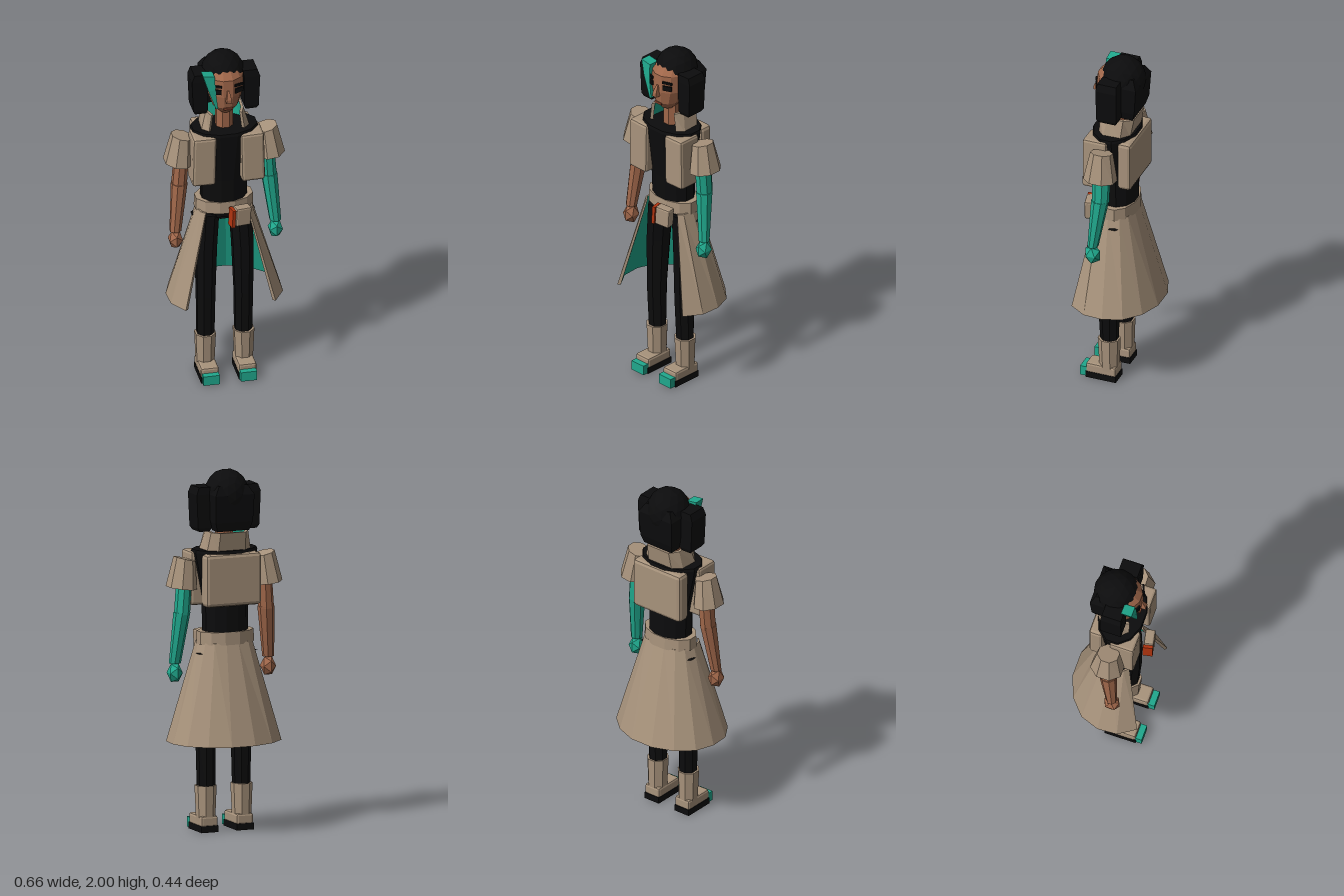
import * as THREE from 'three';
import { RoundedBoxGeometry } from 'three/addons/geometries/RoundedBoxGeometry.js';

const mat = (name, color) => {
  const m = new THREE.MeshStandardMaterial({ color });
  m.name = name;
  return m;
};

// Flat-faced version of any geometry
function facet(g) {
  const f = g.index ? g.toNonIndexed() : g;
  f.computeVertexNormals();
  return f;
}

function fromTriangles(tris) {
  const g = new THREE.BufferGeometry();
  g.setAttribute('position', new THREE.Float32BufferAttribute(tris.flat(), 3));
  g.setAttribute('uv', new THREE.Float32BufferAttribute(new Float32Array(tris.length * 2), 2));
  g.computeVertexNormals();
  return g;
}

// Quads between an upper and a lower row of points
function strip(a, b) {
  const t = [];
  for (let i = 0; i < a.length - 1; i++) t.push(a[i], b[i], b[i + 1], a[i], b[i + 1], a[i + 1]);
  return t;
}

// Capped solid through rings [y, cx, cz, rx, rz, tilt], bottom to top
function loft(rings, n = 8) {
  const k = n === 4 ? Math.SQRT2 : 1;
  const rows = rings.map(([y, cx, cz, rx, rz, tilt = 0]) =>
    Array.from({ length: n + 1 }, (_, i) => {
      const a = ((i % n) + 0.5) * 2 * Math.PI / n;
      const dx = Math.cos(a) * rx * k;
      return [cx + dx, y + tilt * dx, cz - Math.sin(a) * rz * k];
    }));
  const t = [];
  for (let r = 0; r < rows.length - 1; r++) t.push(...strip(rows[r + 1], rows[r]));
  const first = rows[0], last = rows[rows.length - 1];
  for (let i = 1; i < n - 1; i++) {
    t.push(last[0], last[i], last[i + 1]);
    t.push(first[0], first[i + 1], first[i]);
  }
  return fromTriangles(t);
}

// Half outline [x, z] mirrored to run from the left front round the back
const around = (half, y) => [
  ...half.map(([x, z]) => [x, y, z]),
  ...half.slice().reverse().map(([x, z]) => [-x, y, z]),
];
const inset = (row, s, cz) => row.map(([x, y, z]) => [x * s, y, cz + (z - cz) * s]);

export function createModel() {
  const root = new THREE.Group();
  root.name = 'figure';
  const black = mat('black', 0x0c0c0d);
  const cloth = mat('beige cloth', 0xa8937c);
  const teal = mat('teal', 0x20a88d);
  const skin = mat('skin', 0xa0674a);
  const red = mat('red', 0xb03410);
  const lip = mat('lip', 0x84452f);

  const add = (name, geo, material, x = 0, y = 0, z = 0, rx = 0, ry = 0, rz = 0) => {
    const m = new THREE.Mesh(facet(geo), material);
    m.name = name;
    m.position.set(x, y, z);
    m.rotation.set(rx, ry, rz);
    root.add(m);
    return m;
  };
  const box = (w, h, d) => new THREE.BoxGeometry(w, h, d);
  const padded = (w, h, d, r = 0.015) => new RoundedBoxGeometry(w, h, d, 1, r);

  // Open garment with an outer face, a lining and finished edges
  function garment(name, top, bottom, s, cz) {
    const it = inset(top, s, cz), ib = inset(bottom, s, cz), n = top.length - 1;
    add(name, fromTriangles([
      ...strip(top, bottom), ...strip(bottom, ib), ...strip(it, top),
      ...strip([it[0], top[0]], [ib[0], bottom[0]]),
      ...strip([top[n], it[n]], [bottom[n], ib[n]]),
    ]), cloth);
    add(name + 'Lining', fromTriangles(strip(ib, it)), teal);
  }

  // Head and hair
  add('neck', loft([[1.53, 0, 0.045, 0.05, 0.05], [1.72, 0, 0.045, 0.05, 0.05]]), skin);
  add('head', loft([
    [1.67, 0, 0.075, 0.035, 0.04], [1.715, 0, 0.065, 0.075, 0.085], [1.79, 0, 0.055, 0.1, 0.105],
    [1.89, 0, 0.05, 0.102, 0.105], [1.93, 0, 0.04, 0.08, 0.08],
  ], 12), skin);
  add('nose', loft([[1.765, 0, 0.158, 0.016, 0.024], [1.785, 0, 0.158, 0.013, 0.024],
    [1.83, 0, 0.152, 0.006, 0.008]], 4), skin);
  add('mouth', box(0.05, 0.012, 0.009), lip, 0, 1.715, 0.15);
  const cap = new THREE.IcosahedronGeometry(1, 2);
  cap.scale(0.12, 0.13, 0.125);
  add('hairCap', cap, black, 0, 1.87, 0.01);
  add('backHair', loft([[1.67, 0, -0.045, 0.095, 0.035], [1.72, 0, -0.045, 0.11, 0.05],
    [1.87, 0, -0.045, 0.115, 0.06], [1.92, 0, -0.03, 0.085, 0.05]], 4), black);
  // Blade-shaped hair clip
  add('hairClip', loft([[1.72, -0.062, 0.13, 0.006, 0.02], [1.84, -0.09, 0.12, 0.02, 0.03],
    [1.925, -0.105, 0.112, 0.032, 0.03, -0.15]], 4), teal);

  // Torso, vest back and collar
  add('torso', loft([[1.06, 0, 0.03, 0.13, 0.1], [1.25, 0, 0.035, 0.13, 0.105],
    [1.42, 0, 0.04, 0.165, 0.12], [1.545, 0, 0.045, 0.19, 0.13], [1.56, 0, 0.045, 0.185, 0.125]], 12), black);
  add('vestBack', padded(0.33, 0.29, 0.08, 0.02), cloth, 0, 1.4, -0.055);
  garment('collar',
    around([[0.085, 0.115], [0.105, 0.06], [0.11, -0.03], [0.075, -0.08]], 1.66),
    around([[0.1, 0.115], [0.135, 0.08], [0.13, -0.02], [0.08, -0.06]], 1.55), 0.86, 0.03);

  // Belt, hips and long open skirt
  add('belt', loft([[1.04, 0, 0.03, 0.165, 0.108], [1.11, 0, 0.03, 0.163, 0.105]], 12), cloth);
  add('hips', loft([[0.975, 0, 0.01, 0.1, 0.07], [0.99, 0, 0.01, 0.182, 0.07],
    [1.0, 0, 0.02, 0.15, 0.085], [1.06, 0, 0.03, 0.13, 0.095]], 12), black);
  garment('skirt',
    around([[0.12, 0.125], [0.145, 0.1], [0.155, 0.04], [0.14, -0.02], [0.1, -0.055], [0.035, -0.07]], 1.05),
    around([[0.25, 0.215], [0.312, 0.12], [0.318, 0.01], [0.28, -0.095], [0.19, -0.175], [0.07, -0.22]], 0.5),
    0.94, 0.03);

  // Pouch with a red side
  add('pouch', padded(0.09, 0.11, 0.055, 0.01), cloth, 0.072, 1.045, 0.175, 0, 0.2, -0.06);
  add('pouchSide', box(0.018, 0.105, 0.055), red, 0.015, 1.042, 0.184, 0, 0.2, -0.06);

  // Mirrored parts
  for (const s of [1, -1]) {
    const side = s > 0 ? 'left' : 'right';
    const armColour = s > 0 ? teal : skin;

    add(side + 'SideHair', loft([[1.665, s * 0.14, 0.04, 0.03, 0.05], [1.685, s * 0.142, 0.04, 0.04, 0.058],
      [1.87, s * 0.145, 0.04, 0.045, 0.06], [1.91, s * 0.135, 0.04, 0.04, 0.055]], 4), black);
    add(side + 'Eye', box(0.052, 0.028, 0.009), black, s * 0.062, 1.825, 0.145, 0, s * 0.42);
    add(side + 'Brow', box(0.056, 0.013, 0.009), black, s * 0.062, 1.857, 0.144, 0, s * 0.42, s * -0.06);

    add(side + 'VestFront', padded(0.13, 0.295, 0.14), cloth, s * 0.135, 1.4, 0.105, 0, 0, s * 0.02);
    add(side + 'Sleeve', loft([[1.355, s * 0.255, 0.045, 0.083, 0.095, s * 0.12],
      [1.515, s * 0.235, 0.045, 0.06, 0.062, s * 0.25]]), cloth);
    add(side + 'UpperArm', loft([[1.21, s * 0.25, 0.045, 0.043, 0.048],
      [1.45, s * 0.235, 0.045, 0.04, 0.055]]), armColour);
    add(side + 'Forearm', loft([[0.935, s * 0.278, 0.078, 0.033, 0.03],
      [1.22, s * 0.25, 0.047, 0.046, 0.05]]), armColour);
    const hand = new THREE.IcosahedronGeometry(1, 0);
    hand.scale(0.043, 0.058, 0.05);
    add(side + 'Hand', hand, armColour, s * 0.278, 0.882, 0.08);

    add(side + 'Leg', loft([[0.22, s * 0.105, 0.05, 0.05, 0.05], [0.5, s * 0.105, 0.055, 0.054, 0.061],
      [0.8, s * 0.102, 0.045, 0.062, 0.075], [1.02, s * 0.09, 0.035, 0.064, 0.085]]), black);
    add(side + 'BootShaft', loft([[0.06, s * 0.107, 0.05, 0.052, 0.055],
      [0.255, s * 0.107, 0.052, 0.06, 0.063]]), cloth);
    add(side + 'BootFoot', padded(0.1, 0.06, 0.175, 0.012), cloth, s * 0.105, 0.06, 0.084);
    add(side + 'Sole', box(0.1, 0.036, 0.178), black, s * 0.105, 0.018, 0.084);
    add(side + 'ToeCap', box(0.09, 0.056, 0.04), teal, s * 0.104, 0.032, 0.186);
  }
  return root;
}
